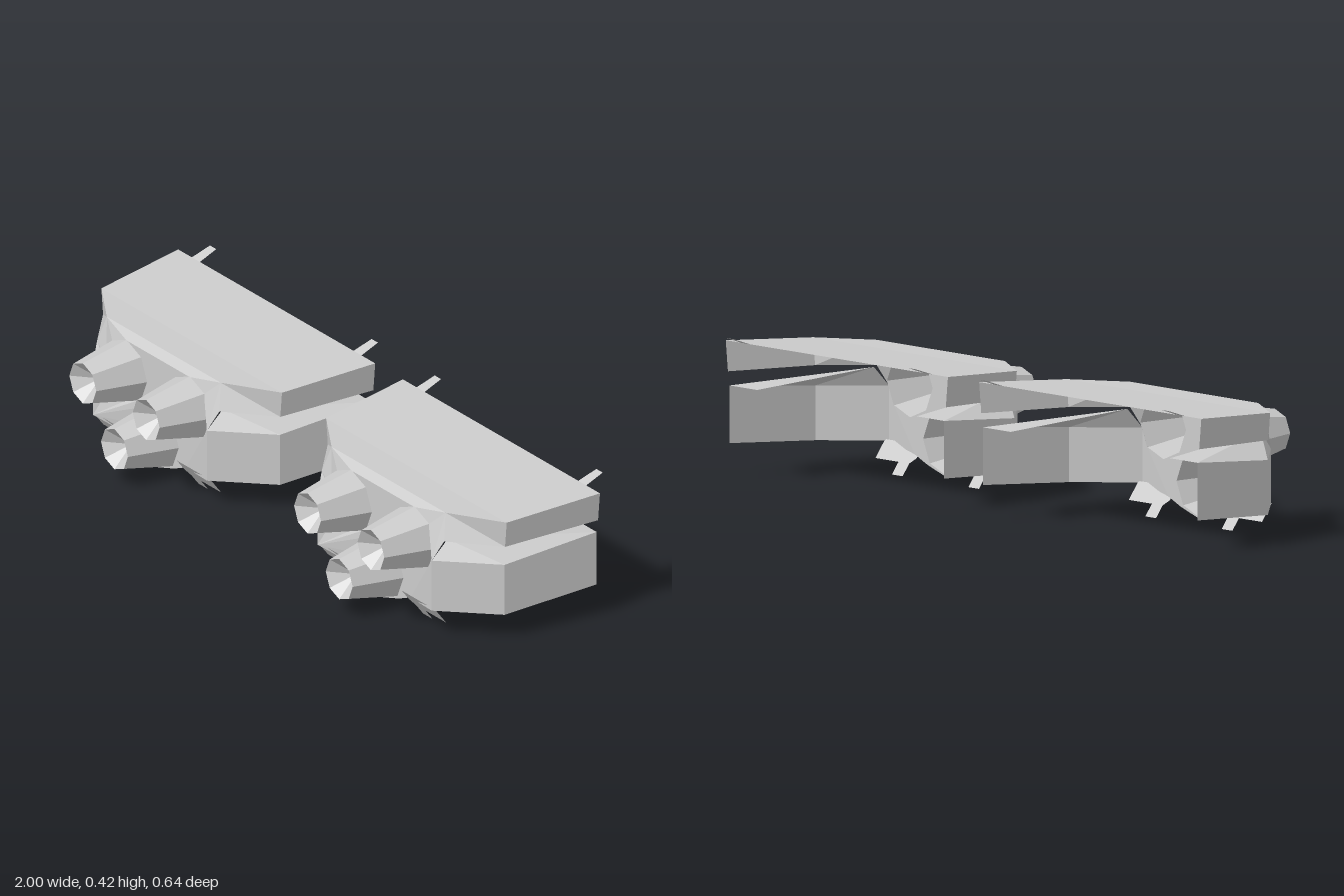
import * as THREE from 'three';

const material = new THREE.MeshStandardMaterial({ color: 0xcccccc, flatShading: true, side: THREE.DoubleSide });

function addMesh(parent, name, geometry) {
  const flat = geometry.index ? geometry.toNonIndexed() : geometry;
  flat.computeVertexNormals();
  const mesh = new THREE.Mesh(flat, material);
  mesh.name = name;
  parent.add(mesh);
  return mesh;
}

// Sheet of quads between two polylines; side = -1 mirrors it in x
function strip(a, b, side = 1) {
  const pos = [];
  const put = (...pts) => pts.forEach(([x, y, z]) => pos.push(x * side, y, z));
  for (let i = 0; i < a.length - 1; i++) {
    const quad = [a[i], b[i], b[i + 1], a[i], b[i + 1], a[i + 1]];
    put(...(side > 0 ? quad : quad.reverse()));
  }
  const g = new THREE.BufferGeometry();
  g.setAttribute('position', new THREE.Float32BufferAttribute(pos, 3));
  return g;
}

// Flat shape whose depth follows a rule of x and y
function sheet(points, holes, depth) {
  const shape = new THREE.Shape(points.map(([x, y]) => new THREE.Vector2(x, y)));
  holes.forEach((h) => shape.holes.push(new THREE.Path(h)));
  const g = new THREE.ShapeGeometry(shape);
  const p = g.attributes.position;
  for (let i = 0; i < p.count; i++) p.setZ(i, depth(p.getX(i), p.getY(i)));
  return g;
}

const BACK_R = 0.097, BACK_Z = 0.165, FRONT_Z = 0.322;
const nozzles = [[-0.15, 0.26], [0.15, 0.26], [0, 0.109]];

// Tapered octagonal nozzle with a recessed cone in its mouth
function addNozzle(unit, x, y) {
  const profile = [[BACK_R, BACK_Z], [0.064, FRONT_Z], [0.001, FRONT_Z - 0.06]];
  const g = new THREE.LatheGeometry(profile.map(([r, z]) => new THREE.Vector2(r, z)), 8);
  g.rotateX(Math.PI / 2);
  // the mouth sits slightly higher than the base
  const p = g.attributes.position;
  for (let i = 0; i < p.count; i++) {
    p.setXYZ(i, p.getX(i) + x, p.getY(i) + y + (p.getZ(i) - BACK_Z) * 0.03, p.getZ(i));
  }
  addMesh(unit, 'nozzle', g);
}

function createUnit() {
  const unit = new THREE.Group();
  unit.name = 'armourUnit';

  // Top plate and upper side walls, back to front
  const rim = [[0.467, 0.397, -0.26], [0.428, 0.378, 0.045], [0.27, 0.378, 0.145]];
  const rimLow = [[0.458, 0.308, -0.26], [0.42, 0.298, 0.045], [0.29, 0.3, 0.165]];
  addMesh(unit, 'topPlate', strip(rim, rim.map(([x, y, z]) => [-x, y, z])));

  // Lower guards with a ledge along their top
  const guardTop = [[0.451, 0.268, -0.26], [0.418, 0.24, 0.045], [0.27, 0.24, 0.195]];
  const guardLow = [[0.451, 0.101, -0.26], [0.418, 0.081, 0.045], [0.27, 0.081, 0.195]];
  const ledge = [[0.335, 0.268, -0.26], [0.28, 0.298, 0.145], [0.28, 0.298, 0.145]];

  for (const side of [1, -1]) {
    addMesh(unit, 'upperSideWall', strip(rimLow, rim, side));
    addMesh(unit, 'lowerGuard', strip(guardLow, guardTop, side));
    addMesh(unit, 'guardLedge', strip(guardTop, ledge, side));

    // Thin tab rising behind the top plate
    addMesh(unit, 'rearTab', strip(
      [[0.364, 0.397, -0.26], [0.368, 0.418, -0.322]],
      [[0.402, 0.397, -0.26], [0.398, 0.418, -0.322]], side));

    // Slanted bracket with a small foot under the front plate
    const bracket = [[0.12, 0.085], [0.28, 0.085], [0.28, 0.034], [0.183, 0.034],
      [0.183, 0], [0.138, 0], [0.138, 0.034], [0.12, 0.05]];
    addMesh(unit, 'bottomBracket',
      sheet(bracket.map(([x, y]) => [x * side, y]), [], (x, y) => 0.125 + y * 0.75));
  }

  // Front plate with octagonal openings
  const half = [[0, 0.01], [0.075, 0.035], [0.13, 0.06], [0.27, 0.081], [0.27, 0.24], [0.29, 0.3], [0.27, 0.378]];
  const outline = [...half, ...half.slice(1).reverse().map(([x, y]) => [-x, y])];
  const holes = nozzles.map(([x, y]) => Array.from({ length: 8 }, (_, i) => {
    const a = -i * Math.PI / 4;
    return new THREE.Vector2(x + 0.095 * Math.cos(a), y + 0.095 * Math.sin(a));
  }));
  addMesh(unit, 'frontPlate', sheet(outline, holes, (x, y) => {
    if (Math.abs(x) < 0.25) return BACK_Z;
    return y > 0.35 ? 0.145 : y > 0.27 ? 0.165 : 0.195;
  }));

  nozzles.forEach(([x, y]) => addNozzle(unit, x, y));
  return unit;
}

export function createModel() {
  const model = new THREE.Group();
  model.name = 'armourPair';
  for (const side of [1, -1]) {
    const unit = createUnit();
    unit.name = side > 0 ? 'leftUnit' : 'rightUnit';
    unit.position.x = side * 0.5325;
    model.add(unit);
  }
  return model;
}
